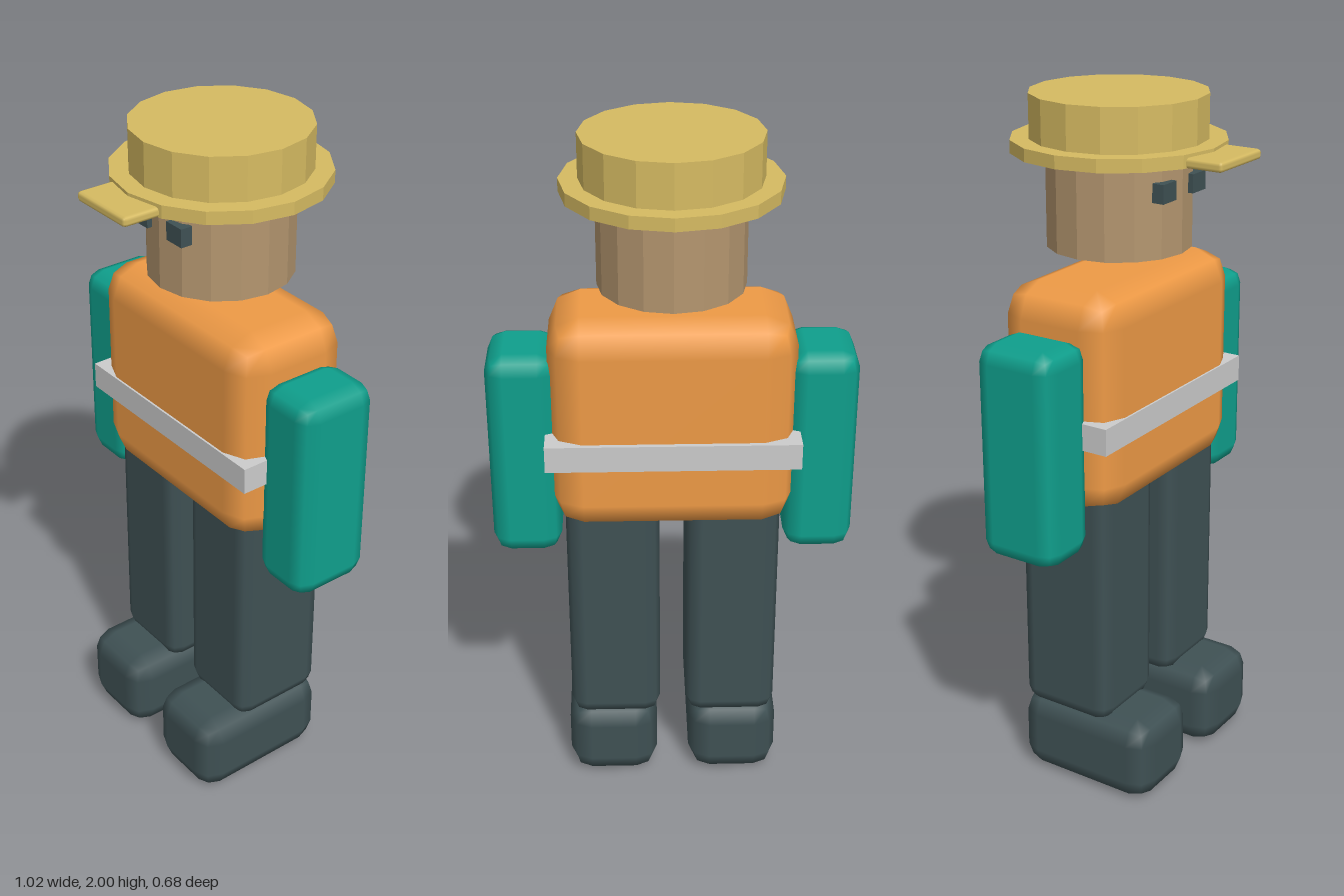
import * as THREE from 'three';
import { RoundedBoxGeometry } from 'three/addons/geometries/RoundedBoxGeometry.js';

const paint = (color, flatShading = false) => new THREE.MeshStandardMaterial({ color, flatShading });

export function createModel() {
  const model = new THREE.Group();
  const orange = paint(0xee9a46), teal = paint(0x0f9f8c), slate = paint(0x3f5154);
  const skin = paint(0xb4966f, true), straw = paint(0xd6bb62, true), grey = paint(0xcccccc);

  const add = (name, geometry, material, x, y, z) => {
    const mesh = new THREE.Mesh(geometry, material);
    mesh.name = name;
    mesh.position.set(x, y, z);
    model.add(mesh);
  };
  // Boxes are given by their [min, max] extents; radius 0 keeps sharp edges
  const addBox = (name, material, [x0, x1], [y0, y1], [z0, z1], radius = 0) => {
    const size = [x1 - x0, y1 - y0, z1 - z0];
    const geometry = radius ? new RoundedBoxGeometry(...size, 1, radius) : new THREE.BoxGeometry(...size);
    add(name, geometry, material, (x0 + x1) / 2, (y0 + y1) / 2, (z0 + z1) / 2);
  };
  const addDrum = (name, material, radius, y0, y1) =>
    add(name, new THREE.CylinderGeometry(radius, radius, y1 - y0, 16), material, 0, (y0 + y1) / 2, -0.043);

  // Body and belt
  addBox('torso', orange, [-0.34, 0.34], [0.895, 1.523], [-0.223, 0.142], 0.09);
  addBox('belt', grey, [-0.352, 0.352], [1.105, 1.182], [-0.237, 0.148]);

  // Limbs and eyes, mirrored left and right
  for (const [side, s] of [['left', 1], ['right', -1]]) {
    const span = (a, b) => (s > 0 ? [a, b] : [-b, -a]);
    addBox(side + 'Arm', teal, span(0.317, 0.512), [0.793, 1.408], [-0.167, 0.078], 0.05);
    addBox(side + 'Leg', slate, span(0.038, 0.304), [0.225, 0.97], [-0.19, 0.107], 0.045);
    addBox(side + 'Foot', slate, span(0.048, 0.313), [0, 0.25], [-0.2, 0.245], 0.065);
    addBox(side + 'Eye', slate, span(0.042, 0.106), [1.738, 1.79], [0.132, 0.167]);
  }

  // Head and hat
  addDrum('head', skin, 0.203, 1.58, 1.86);
  addDrum('hatBrim', straw, 0.298, 1.842, 1.878);
  addDrum('hatCrown', straw, 0.246, 1.86, 2);
  addBox('hatVisor', paint(0xd6bb62), [-0.105, 0.105], [1.841, 1.869], [0.13, 0.34], 0.01);

  return model;
}
